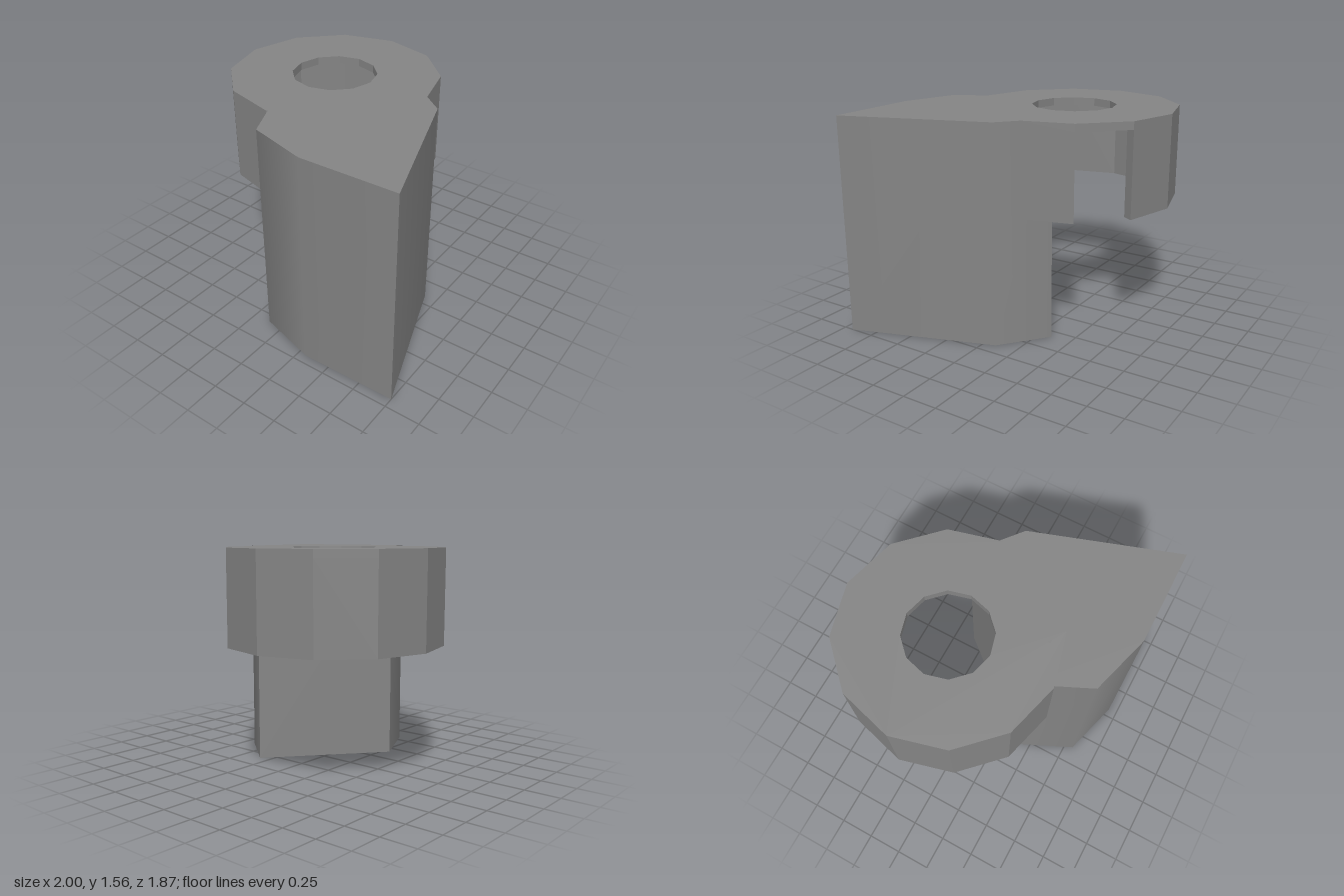
import * as THREE from 'three';

const CX = -0.245, CZ = -0.18;             // axis of the collar
const OUTER = 0.755, INNER = 0.68, HOLE = 0.305;
const BOTTOM = 0.9, CEILING = 1.507, TOP = 1.563;

// Corners of a twelve-sided ring, from corner number a to corner number b (plan coordinates x, -z)
function corners(radius, a, b) {
  const pts = [];
  for (let i = a; i <= b; i++) {
    const t = (i * Math.PI) / 6;
    pts.push(new THREE.Vector2(CX + radius * Math.cos(t), -CZ + radius * Math.sin(t)));
  }
  return pts;
}

// Extrudes a plan outline upwards from y0 to y1
function prism(shape, y0, y1) {
  return new THREE.ExtrudeGeometry(shape, { depth: y1 - y0, bevelEnabled: false })
    .rotateX(-Math.PI / 2)
    .translate(0, y0, 0);
}

// Upright wall along a run of [x, z] points, smoothly shaded from point to point
function smoothWall(run, height) {
  const positions = [], normals = [], index = [];
  run.forEach(([x, z], i) => {
    const prev = run[Math.max(i - 1, 0)];
    const next = run[Math.min(i + 1, run.length - 1)];
    const n = new THREE.Vector3(prev[1] - next[1], 0, next[0] - prev[0]).normalize();
    positions.push(x, 0, z, x, height, z);
    normals.push(...n, ...n);
    if (i > 0) {
      const k = 2 * i;
      index.push(k - 2, k, k + 1, k - 2, k + 1, k - 1);
    }
  });
  const geometry = new THREE.BufferGeometry();
  geometry.setAttribute('position', new THREE.Float32BufferAttribute(positions, 3));
  geometry.setAttribute('normal', new THREE.Float32BufferAttribute(normals, 3));
  geometry.setIndex(index);
  return geometry;
}

export function createModel() {
  const model = new THREE.Group();
  model.name = 'collaredBlock';
  const material = new THREE.MeshStandardMaterial({ color: 0x848484 });

  function add(name, geometry) {
    const mesh = new THREE.Mesh(geometry, material);
    mesh.name = name;
    model.add(mesh);
  }

  // Top plate with a central hole
  const plate = new THREE.Shape(corners(OUTER, 0, 11));
  plate.holes.push(new THREE.Path(corners(HOLE, 0, 11).reverse()));
  add('collarTop', prism(plate, CEILING, TOP));

  // Thin collar wall, leaving one facet open
  const wall = new THREE.Shape([...corners(OUTER, 2, 13), ...corners(INNER, 2, 13).reverse()]);
  add('collarWall', prism(wall, BOTTOM, CEILING));

  // Wedge-shaped block: rounded front and side that meet at a sharp tip, and a flat back
  const plan = [[-0.305, 0.415], [-0.12, 0.813], [0.31, 0.935], [1, 0.928], [0.65, -0.09], [0.332, -0.347]];
  add('blockFront', smoothWall(plan.slice(0, 4), TOP));
  add('blockSide', smoothWall(plan.slice(3), TOP));
  add('blockBack', smoothWall([plan[5], plan[0]], TOP));

  // Flat ends of the block
  const outline = new THREE.Shape(plan.map(([x, z]) => new THREE.Vector2(x, -z)));
  add('blockTop', new THREE.ShapeGeometry(outline).rotateX(-Math.PI / 2).translate(0, TOP, 0));
  const underside = new THREE.Shape(plan.map(([x, z]) => new THREE.Vector2(x, z)));
  add('blockUnderside', new THREE.ShapeGeometry(underside).rotateX(Math.PI / 2));

  return model;
}
